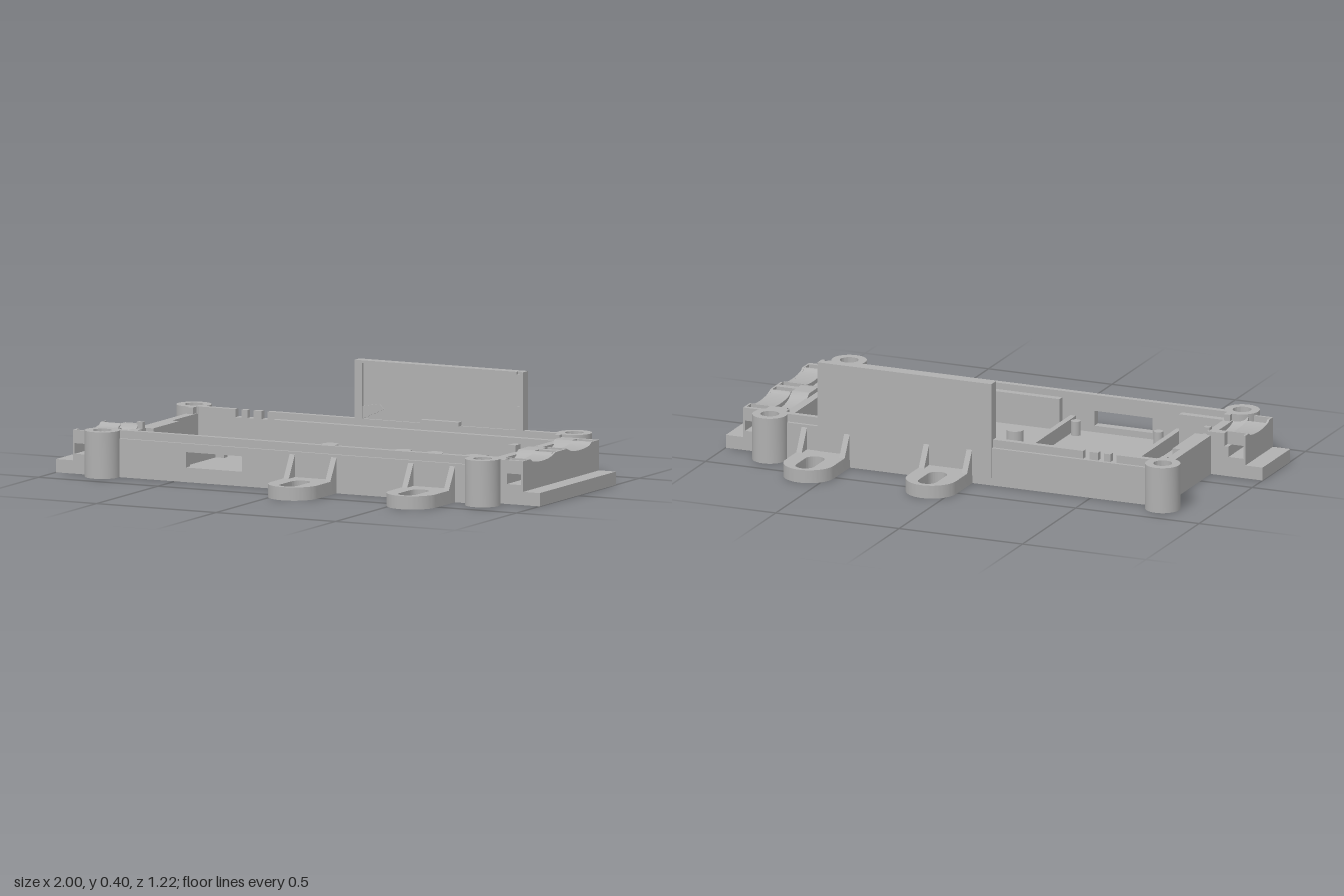
import * as THREE from 'three';
import { toCreasedNormals } from 'three/addons/utils/BufferGeometryUtils.js';

const grey = new THREE.MeshStandardMaterial({ color: 0xb0b0b0 });
grey.name = 'plastic grey';

export function createModel() {
  const root = new THREE.Group();
  root.name = 'enclosureBase';

  const add = (name, geo, parent = root) => {
    const m = new THREE.Mesh(geo, grey);
    m.name = name;
    parent.add(m);
    return m;
  };
  // Box given by its limits on each axis
  const box = (name, x0, x1, y0, y1, z0, z1, parent) => {
    const m = add(name, new THREE.BoxGeometry(x1 - x0, y1 - y0, z1 - z0), parent);
    m.position.set((x0 + x1) / 2, (y0 + y1) / 2, (z0 + z1) / 2);
    return m;
  };
  const extrude = (shape, depth) => toCreasedNormals(
    new THREE.ExtrudeGeometry(shape, { depth, bevelEnabled: false, curveSegments: 20 }), 0.6);

  // Floor and walls
  box('floor', -0.79, 0.78, 0, 0.03, -0.36, 0.36);
  const front = new THREE.Shape();
  front.moveTo(-0.79, 0.03).lineTo(0.78, 0.03).lineTo(0.78, 0.145).lineTo(-0.79, 0.145).closePath();
  const win = new THREE.Path();
  win.moveTo(-0.455, 0.055).lineTo(-0.455, 0.113).lineTo(-0.22, 0.113).lineTo(-0.22, 0.055).closePath();
  front.holes.push(win);
  add('frontWall', extrude(front, 0.035)).position.z = 0.325;
  box('backWall', -0.79, 0.78, 0.03, 0.145, -0.36, -0.325);
  box('leftWall', -0.79, -0.755, 0.03, 0.15, -0.325, 0.325);
  box('rightWall', 0.745, 0.78, 0.03, 0.15, -0.325, 0.325);

  // Raised tongue on the long walls, notched at the back
  box('frontTongue', -0.76, 0.76, 0.145, 0.175, 0.325, 0.348);
  for (const [a, b] of [[-0.76, -0.6], [-0.575, -0.55], [-0.525, -0.49], [-0.465, 0.76]])
    box('backTongue', a, b, 0.145, 0.175, -0.348, -0.325);
  for (const s of [-1, 1]) for (const x of [-0.785, 0.75])
    box('cornerTongue', x, x + 0.025, 0.145, 0.175, s > 0 ? 0.29 : -0.33, s > 0 ? 0.33 : -0.29);

  // Inner liners and end pieces
  box('backLiner', -0.43, 0.745, 0.03, 0.15, -0.325, -0.302);
  box('frontLiner', -0.09, 0.745, 0.03, 0.15, 0.298, 0.325);
  box('frontLinerShort', -0.755, -0.575, 0.03, 0.15, 0.298, 0.325);
  box('endStop', -0.755, -0.725, 0.03, 0.15, -0.11, 0.1);
  box('endClip', -0.78, -0.755, 0.15, 0.175, 0.11, 0.13);
  box('rightClip', 0.72, 0.75, 0.12, 0.175, -0.02, 0.02);
  box('frontLatch', 0.18, 0.34, 0.14, 0.165, 0.29, 0.3);

  // Upright panel with a raised rim on its inner face
  box('panel', -0.1, 0.605, 0.03, 0.395, -0.363, -0.335);
  box('panelRimLeft', -0.1, -0.07, 0.175, 0.395, -0.335, -0.323);
  box('panelRimTop', -0.07, 0.578, 0.385, 0.395, -0.335, -0.323);
  box('panelRimRight', 0.59, 0.605, 0.175, 0.395, -0.335, -0.323);
  box('panelRimRight', 0.578, 0.59, 0.325, 0.385, -0.335, -0.323);
  box('panelRimRight', 0.578, 0.59, 0.175, 0.265, -0.335, -0.323);
  const wedge = new THREE.Shape();
  wedge.moveTo(-0.07, 0.175).lineTo(0.02, 0.215).lineTo(0.0, 0.235).lineTo(-0.07, 0.222).closePath();
  add('panelWedge', extrude(wedge, 0.008)).position.z = -0.335;
  box('panelLatch', 0.18, 0.34, 0.175, 0.19, -0.335, -0.312);

  // Corner screw bosses
  const bossGeo = toCreasedNormals(new THREE.LatheGeometry(
    [[0, 0], [0.066, 0], [0.066, 0.175], [0.035, 0.175], [0.035, 0.04], [0, 0.04]]
      .map(([x, y]) => new THREE.Vector2(x, y)), 40), 0.6);
  for (const x of [-0.798, 0.794]) for (const z of [-0.373, 0.373])
    add('screwBoss', bossGeo).position.set(x, 0, z);

  // Slotted mounting ears with gussets
  const ear = new THREE.Shape();
  ear.moveTo(-0.098, 0.35).lineTo(0.098, 0.35).lineTo(0.098, 0.512);
  ear.absarc(0, 0.512, 0.098, 0, Math.PI, false);
  ear.closePath();
  const slot = new THREE.Path();
  slot.absarc(0, 0.552, 0.037, 0, Math.PI, false);
  slot.absarc(0, 0.465, 0.037, Math.PI, Math.PI * 2, false);
  slot.closePath();
  ear.holes.push(slot);
  const earGeo = extrude(ear, 0.05).rotateX(-Math.PI / 2);
  const gusset = new THREE.Shape();
  gusset.moveTo(0.355, 0.05).lineTo(0.41, 0.05).lineTo(0.36, 0.135).lineTo(0.355, 0.135).closePath();
  const gussetGeo = extrude(gusset, 0.022).rotateY(Math.PI / 2);
  for (const x of [0.077, 0.573]) for (const turn of [0, Math.PI]) {
    const g = new THREE.Group();
    g.name = 'mountingEar';
    add('earPlate', earGeo, g);
    for (const gx of [-0.098, 0.076]) add('earGusset', gussetGeo, g).position.x = gx;
    g.position.x = x;
    g.rotation.y = turn;
    root.add(g);
  }

  // Cable clamp: block with saddles on top and a strap tunnel; built towards +x
  const saddle = (z0, z1, x0, x1, dips, depth, parent) => {
    const s = new THREE.Shape();
    s.moveTo(-z1, 0.115).lineTo(-z0, 0.115);
    const n = 40;
    for (let i = 0; i <= n; i++) {
      const z = z0 + (z1 - z0) * i / n;
      let y = 0.165;
      for (const d of dips) {
        const t = (z - d) / 0.095;
        if (Math.abs(t) < 1) y -= depth * Math.sqrt(1 - t * t);
      }
      s.lineTo(-z, y);
    }
    s.closePath();
    add('cableSaddle', extrude(s, x1 - x0).rotateY(Math.PI / 2), parent).position.x = x0;
  };
  const clamp = (name, z0, z1, dips) => {
    const g = new THREE.Group();
    g.name = name;
    box('clampFlange', 0.77, 1, 0, 0.05, z0, z1, g);
    box('clampBase', 0.775, 0.93, 0.05, 0.075, z0, z1, g);
    box('clampCore', 0.775, 0.862, 0.075, 0.115, z0, z1, g);
    box('clampSkin', 0.922, 0.93, 0.075, 0.115, z0, z1, g);
    saddle(z0, z1, 0.775, 0.845, dips, 0.035, g);
    saddle(z0, z1, 0.922, 0.93, dips, 0.018, g);
    // Strips between the strap slots
    let z = z0;
    for (const d of dips) for (const a of [d - 0.14, d + 0.1]) {
      const start = Math.max(a, z0 + 0.01);
      saddle(z, start, 0.845, 0.922, dips, 0.018, g);
      z = start + 0.04;
    }
    if (z1 - z > 0.004) saddle(z, z1, 0.845, 0.922, dips, 0.018, g);
    root.add(g);
    return g;
  };
  clamp('rightCableClamp', -0.31, 0.31, [-0.153, 0.153]);
  clamp('leftCableClamp', -0.357, -0.097, [-0.227]).rotation.y = Math.PI;

  // Board ribs with hooked ends
  for (const x of [-0.575, -0.145]) {
    box('boardRib', x, x + 0.022, 0.03, 0.085, -0.095, 0.325);
    box('ribHook', x === -0.575 ? x : x - 0.015, x + 0.057, 0.03, 0.085, -0.1, -0.073);
  }

  // Locating pins and support posts
  const cyl = (name, x, z, r, top) =>
    add(name, new THREE.CylinderGeometry(r, r, top - 0.03, 28)).position.set(x, (top + 0.03) / 2, z);
  for (const x of [-0.505, -0.17]) cyl('locatingPin', x, 0.267, 0.018, 0.085);
  for (const [x, z] of [[-0.052, -0.03], [0.262, -0.014], [0.393, -0.014], [0.558, -0.014]])
    cyl('supportPost', x, z, 0.032, 0.12);

  return root;
}
